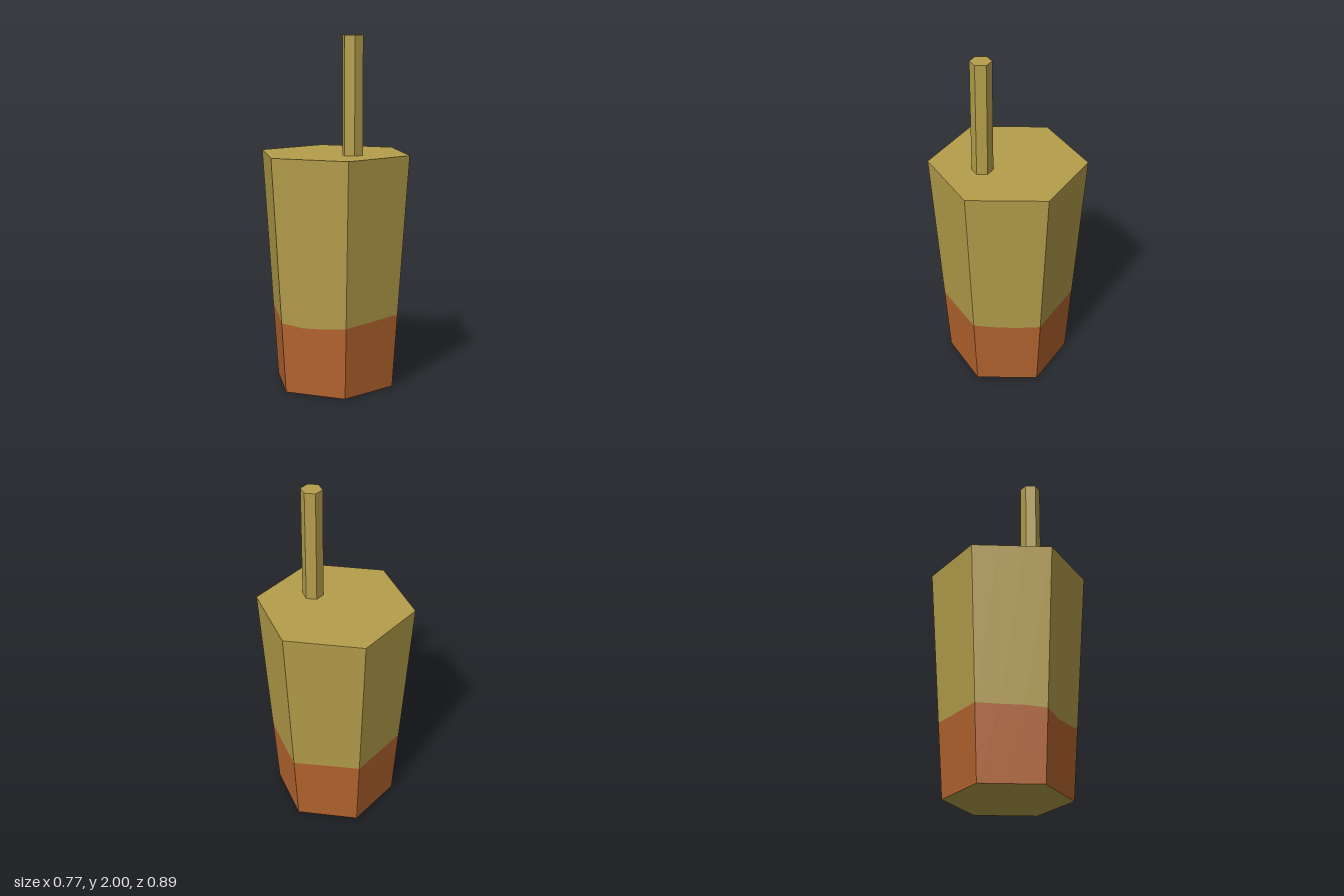
import * as THREE from 'three';

const HEIGHT = 1.34, R_BOTTOM = 0.355, R_TOP = 0.446, SIDES = 6;

// Height of the wavy paint line, three samples per side, starting at the front corner
const LINE = [
  0.408, 0.39, 0.395, 0.41, 0.415, 0.421,
  0.43, 0.417, 0.414, 0.423, 0.426, 0.428,
  0.431, 0.43, 0.43, 0.43, 0.423, 0.42,
];

// Point on the tapered six-sided wall; i counts samples round the wall
function wallPoint(i, y) {
  const per = LINE.length / SIDES;
  const side = Math.floor(i / per), t = (i % per) / per;
  const r = THREE.MathUtils.lerp(R_BOTTOM, R_TOP, y / HEIGHT);
  const a = (side * Math.PI) / 3, b = ((side + 1) * Math.PI) / 3;
  return [
    r * THREE.MathUtils.lerp(Math.sin(a), Math.sin(b), t),
    y,
    r * THREE.MathUtils.lerp(Math.cos(a), Math.cos(b), t),
  ];
}

// Wall strip between two height functions
function wallBand(low, high) {
  const n = LINE.length, pos = [];
  for (let i = 0; i < n; i++) {
    const j = (i + 1) % n;
    const a = wallPoint(i, low(i)), b = wallPoint(j, low(j));
    const c = wallPoint(j, high(j)), d = wallPoint(i, high(i));
    pos.push(...a, ...b, ...c, ...a, ...c, ...d);
  }
  const g = new THREE.BufferGeometry();
  g.setAttribute('position', new THREE.Float32BufferAttribute(pos, 3));
  g.computeVertexNormals();
  return g;
}

export function createModel() {
  const group = new THREE.Group();
  const olive = new THREE.MeshStandardMaterial({ color: 0xb59e4b });
  olive.name = 'olive';
  const rust = new THREE.MeshStandardMaterial({ color: 0xb5652f });
  rust.name = 'rust';
  olive.flatShading = rust.flatShading = true;

  const add = (name, geometry, material) => {
    const mesh = new THREE.Mesh(geometry, material);
    mesh.name = name;
    group.add(mesh);
    return mesh;
  };

  // Cup wall, split along the wavy line
  const line = (i) => LINE[i];
  add('lowerWall', wallBand(() => 0, line), rust);
  add('upperWall', wallBand(line, () => HEIGHT), olive);

  // Closed top and base, corners towards front and back
  const lid = add('lid', new THREE.CircleGeometry(R_TOP, SIDES, Math.PI / 2), olive);
  lid.rotation.x = -Math.PI / 2;
  lid.position.y = HEIGHT;
  const base = add('base', new THREE.CircleGeometry(R_BOTTOM, SIDES, Math.PI / 2), olive);
  base.rotation.x = Math.PI / 2;

  // Off-centre straw
  const length = 2 - HEIGHT;
  const straw = add('straw', new THREE.CylinderGeometry(0.06, 0.06, length, SIDES), olive);
  straw.position.set(0.16, HEIGHT + length / 2, 0);

  return group;
}
